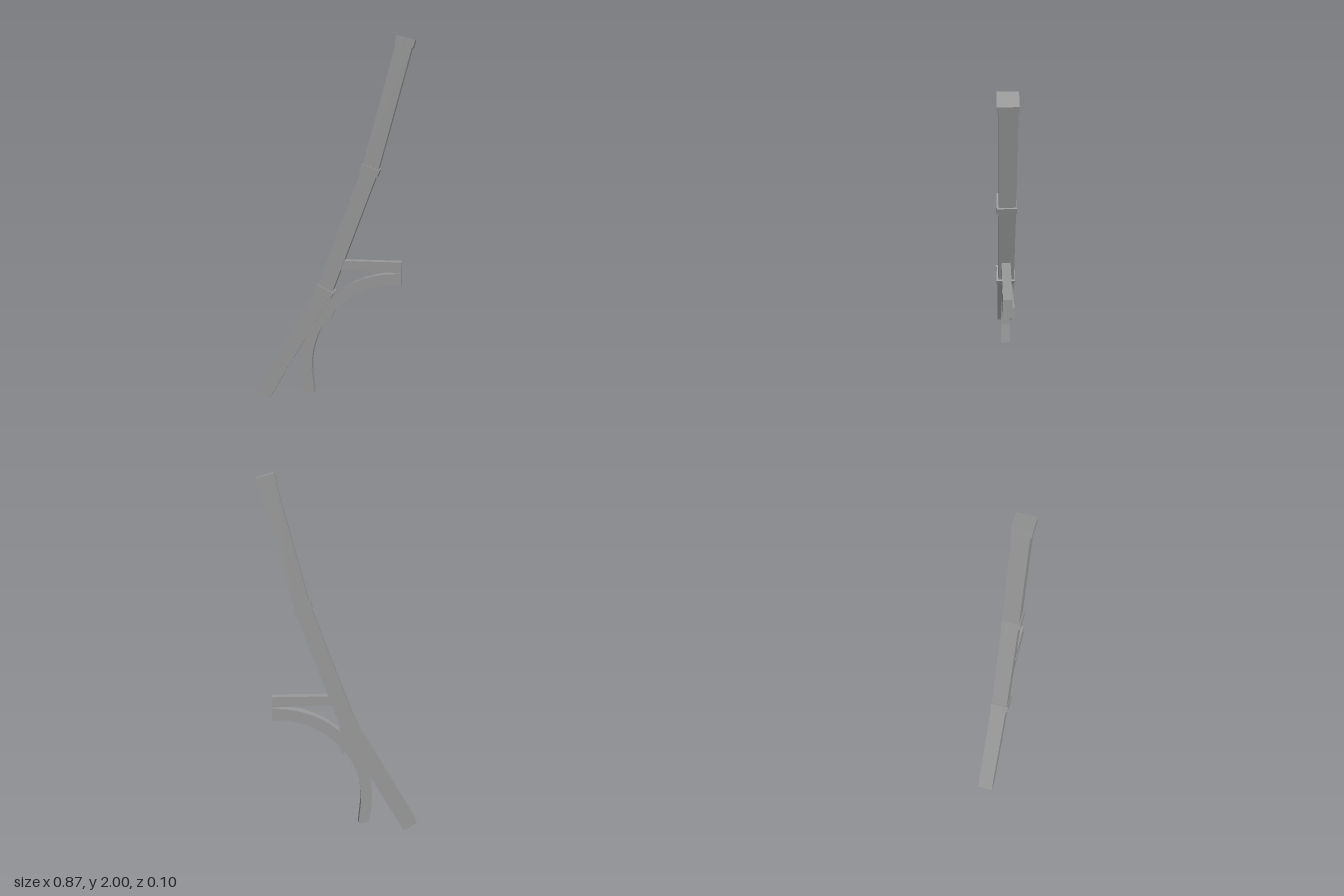
import * as THREE from 'three';

const material = new THREE.MeshStandardMaterial({ color: 0x999999, flatShading: true });

function add(group, name, geometry) {
  const mesh = new THREE.Mesh(geometry, material);
  mesh.name = name;
  group.add(mesh);
  return mesh;
}

// Side outline in x,y extruded between two z depths
function slab(group, name, points, zBack, zFront) {
  const shape = new THREE.Shape(points.map(([x, y]) => new THREE.Vector2(x, y)));
  const geometry = new THREE.ExtrudeGeometry(shape, { depth: zFront - zBack, bevelEnabled: false });
  geometry.translate(0, 0, zBack);
  return add(group, name, geometry);
}

// Outline of a curved strip; innerAt gives the inner radius for t from 0 to 1
function arcOutline(cx, cy, outer, innerAt, startDeg, endDeg, segments) {
  const outside = [], inside = [];
  for (let i = 0; i <= segments; i++) {
    const t = i / segments;
    const a = THREE.MathUtils.degToRad(startDeg + (endDeg - startDeg) * t);
    const r = innerAt(t);
    outside.push([cx + outer * Math.cos(a), cy + outer * Math.sin(a)]);
    inside.unshift([cx + r * Math.cos(a), cy + r * Math.sin(a)]);
  }
  return [...outside, ...inside];
}

export function createModel() {
  const group = new THREE.Group();
  group.name = 'bentPost';

  // Post: three straight timbers, each leaning less than the one below
  const joints = [[-0.397, 0.022], [-0.047, 0.628], [0.2, 1.293], [0.379, 1.966]];
  const names = ['lowerPost', 'middlePost', 'upperPost'];
  for (let i = 0; i < 3; i++) {
    const [x0, y0] = joints[i], [x1, y1] = joints[i + 1];
    const length = Math.hypot(x1 - x0, y1 - y0);
    const post = add(group, names[i], new THREE.BoxGeometry(0.087, length, 0.088));
    post.position.set((x0 + x1) / 2, (y0 + y1) / 2, -0.003);
    post.rotation.z = -Math.atan2(x1 - x0, y1 - y0);
  }

  // Collars over the joints and the top end
  [['lowerCollar', 1, 28], ['middleCollar', 2, 20], ['topCollar', 3, 15.5]].forEach(([name, i, lean]) => {
    const collar = add(group, name, new THREE.BoxGeometry(0.1, 0.042, 0.102));
    collar.position.set(joints[i][0], joints[i][1], 0);
    collar.rotation.z = -THREE.MathUtils.degToRad(lean);
  });

  // Horizontal arm, its root buried in the post
  slab(group, 'arm', [[0.03, 0.75], [0.373, 0.741], [0.373, 0.8], [0.03, 0.8]], -0.026, 0.024);

  // Curved brace in two lengths; the lower one is cut nearly level at its foot
  const lower = arcOutline(0.357, 0.2, 0.537, () => 0.475, 140, 196.2, 8);
  lower[9] = [-0.104, 0.042];
  slab(group, 'lowerBrace', lower, -0.031, 0.024);
  // The upper length swells slightly at its lower end
  slab(group, 'upperBrace',
    arcOutline(0.357, 0.2, 0.536, (t) => (t > 0.95 ? 0.458 : 0.472), 90, 144, 8), -0.036, 0.024);

  // Square end of the brace under the arm
  slab(group, 'braceEnd', [[0.34, 0.67], [0.373, 0.67], [0.373, 0.741], [0.34, 0.738]], -0.04, 0.024);

  return group;
}
